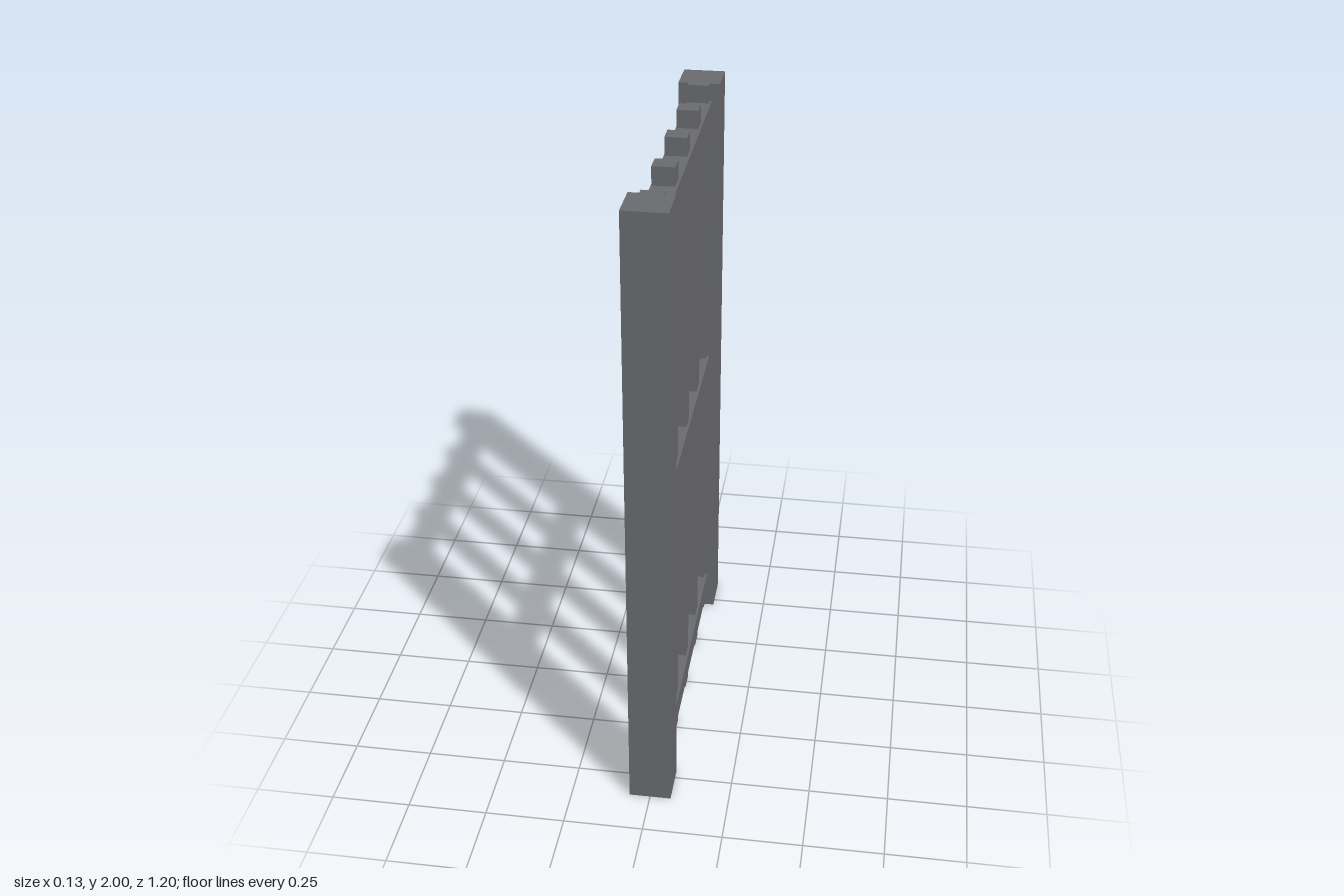
import * as THREE from 'three';

export function createModel() {
  const group = new THREE.Group();
  const iron = new THREE.MeshStandardMaterial({ color: 0x6b6c70 });
  iron.name = 'dark iron';

  // Box given by its [min, max] extent along each axis
  function box(name, [x0, x1], [y0, y1], [z0, z1]) {
    const mesh = new THREE.Mesh(new THREE.BoxGeometry(x1 - x0, y1 - y0, z1 - z0), iron);
    mesh.position.set((x0 + x1) / 2, (y0 + y1) / 2, (z0 + z1) / 2);
    mesh.name = name;
    group.add(mesh);
  }

  // Square posts at both ends
  box('frontPost', [-0.066, 0.066], [0, 2], [0.469, 0.6]);
  box('backPost', [-0.066, 0.066], [0, 2], [-0.6, -0.469]);

  // Upright bars, the outer two partly sunk into the posts
  for (let i = -2; i <= 2; i++) {
    const z = i * 0.239;
    box(`bar${i + 3}`, [-0.034, 0.033], [0, 2], [z - 0.031, z + 0.031]);
  }

  // Cross rails, slightly proud of the bars
  const rails = { bottomRail: [0.062, 0.136], middleRail: [0.966, 1.039], topRail: [1.868, 1.943] };
  for (const [name, y] of Object.entries(rails)) {
    box(name, [-0.036, 0.041], y, [-0.475, 0.475]);
  }

  return group;
}
